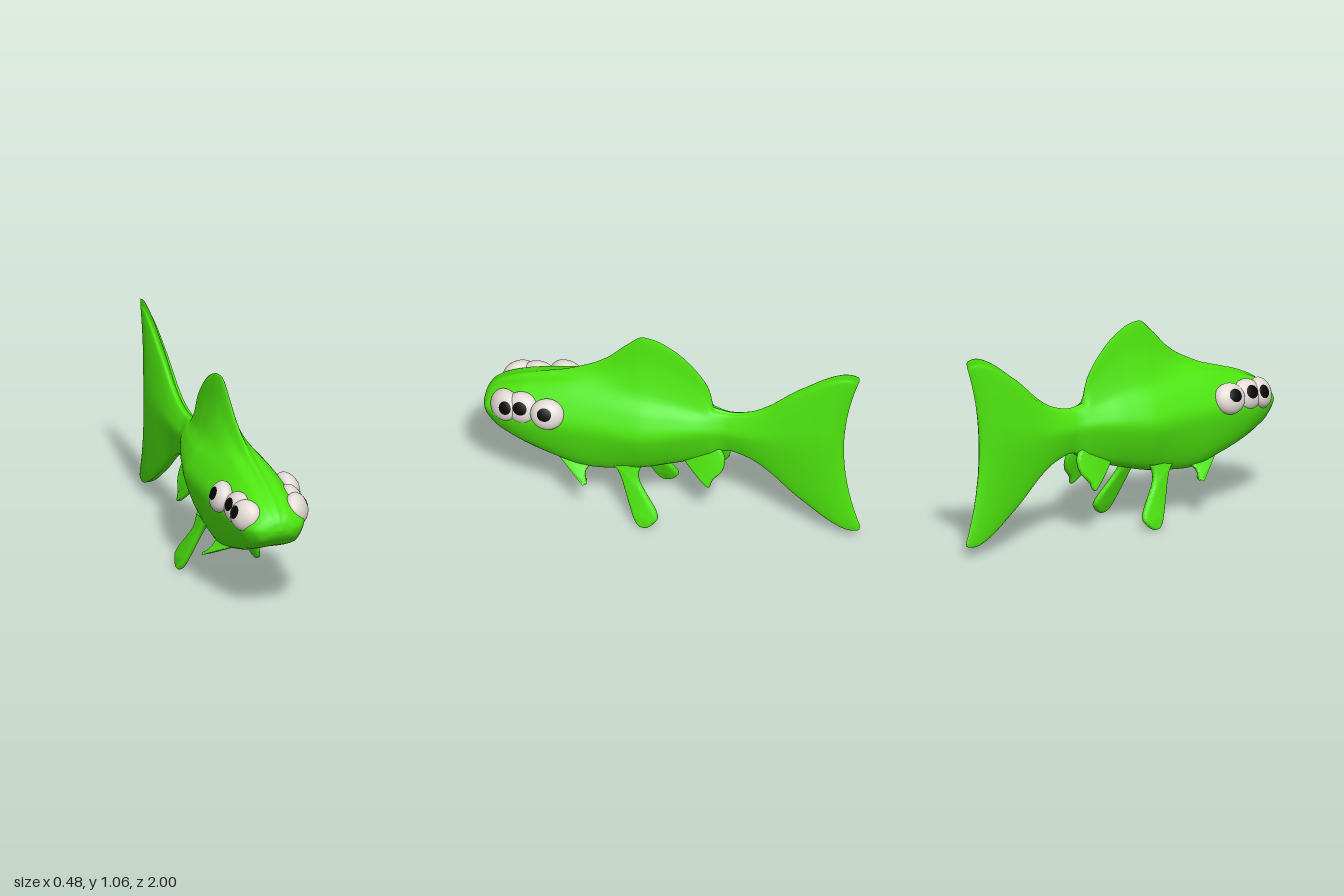
import * as THREE from 'three';
import { toCreasedNormals } from 'three/addons/utils/BufferGeometryUtils.js';

const green = new THREE.MeshStandardMaterial({ color: 0x4ee60f });
const white = new THREE.MeshStandardMaterial({ color: 0xe2dad4 });
const black = new THREE.MeshStandardMaterial({ color: 0x050505 });

// Smooth curve through [z, value] points (z falling) that never overshoots
function profile(points) {
  const last = points.length - 1;
  const slope = (i) => (points[i + 1][1] - points[i][1]) / (points[i + 1][0] - points[i][0]);
  const tangents = points.map((_, i) => {
    if (i === 0) return slope(0);
    if (i === last) return slope(last - 1);
    const a = slope(i - 1), b = slope(i);
    return a * b > 0 ? (2 * a * b) / (a + b) : 0;
  });
  return (z) => {
    if (z >= points[0][0]) return points[0][1];
    if (z <= points[last][0]) return points[last][1];
    const i = points.findIndex((p) => p[0] < z) - 1;
    const [z0, v0] = points[i], [z1, v1] = points[i + 1];
    const h = z1 - z0, t = (z - z0) / h, s = 1 - t;
    return v0 * s * s * (1 + 2 * t) + v1 * t * t * (3 - 2 * t)
      + h * t * s * (tangents[i] * s - tangents[i + 1] * t);
  };
}

const TAIL_Y = 0.56;
const back = profile([[1, 0.53], [0.99, 0.57], [0.96, 0.61], [0.88, 0.66], [0.75, 0.71],
  [0.5, 0.765], [0.2, 0.78], [0, 0.75], [-0.16, 0.7], [-0.3, 0.678], [-0.4, 0.7],
  [-0.7, 0.91], [-0.95, 1.057], [-0.99, 1.05], [-1, 1.02]]);
const backFin = profile([[0.75, 0], [0.6, 0.01], [0.45, 0.06], [0.35, 0.12], [0.25, 0.215],
  [0.16, 0.283], [0.1, 0.285], [0, 0.26], [-0.1, 0.21], [-0.16, 0.155], [-0.195, 0.095], [-0.21, 0]]);
const trunkBelly = profile([[1, 0.53], [0.99, 0.495], [0.96, 0.455], [0.88, 0.4], [0.6, 0.295],
  [0.4, 0.253], [0.2, 0.27], [0, 0.32], [-0.2, 0.39], [-0.3, 0.442], [-0.32, 0.442]]);
const halfWidth = profile([[1, 0], [0.99, 0.08], [0.96, 0.135], [0.88, 0.175], [0.75, 0.195],
  [0.4, 0.2], [0.16, 0.196], [0, 0.16], [-0.2, 0.088], [-0.3, 0.055], [-0.7, 0.058],
  [-0.85, 0.052], [-0.95, 0.034], [-0.99, 0.015], [-1, 0]]);

// Closed outline of the body at z, the tail being alike above and below
function section(z) {
  const w = halfWidth(z), ridge = back(z), top = ridge + backFin(z);
  const bottom = z > -0.3 ? trunkBelly(z) : 2 * TAIL_Y - ridge;
  const mid = THREE.MathUtils.lerp(TAIL_Y, 0.525, THREE.MathUtils.smoothstep(z, -0.2, 0.2));
  const belly = w * THREE.MathUtils.lerp(0.5, 0.7, THREE.MathUtils.smoothstep(z, -0.3, 0.6));
  const up = (f) => mid + f * (ridge - mid);
  const half = [
    [0, bottom],
    [belly, bottom + 0.04 * (top - bottom)],
    [w, mid],
    [w * 0.78, up(0.5)],
    [w * 0.42, up(0.87)],
    [w * 0.16, (up(0.87) + top) / 2],
    [0, top],
  ].map(([x, y]) => new THREE.Vector3(x, y, z));
  const other = half.slice(1, -1).reverse().map((p) => new THREE.Vector3(-p.x, p.y, z));
  return new THREE.CatmullRomCurve3([...half, ...other], true, 'catmullrom', 0.45);
}

// One smooth skin for the head, trunk, back fin and tail fin
function bodyGeometry() {
  const N = 220, M = 64;
  const pos = [], index = [];
  for (let i = 0; i <= N; i++) {
    const ring = section(Math.cos((Math.PI * i) / N));
    for (let j = 0; j < M; j++) {
      const p = ring.getPoint(j / M);
      // Concave trailing edge of the tail
      const t = (p.y - TAIL_Y) / 0.48;
      const k = THREE.MathUtils.smoothstep(-p.z, 0.5, 1);
      pos.push(p.x, p.y, p.z + 0.09 * k * Math.max(0, 1 - t * t));
    }
  }
  for (let i = 0; i < N; i++) {
    for (let j = 0; j < M; j++) {
      const a = i * M + j, c = i * M + (j + 1) % M;
      index.push(a, a + M, c, a + M, c + M, c);
    }
  }
  const g = new THREE.BufferGeometry();
  g.setAttribute('position', new THREE.Float32BufferAttribute(pos, 3));
  g.setIndex(index);
  g.computeVertexNormals();
  return g;
}

// Thin rounded fin: outline as [z, y], splayed from x0 at y0 to x1 at y1
function fin(name, outline, side, [x0, y0, x1, y1], thick) {
  const shape = new THREE.Shape();
  const pts = outline.map(([z, y]) => new THREE.Vector2(-z, y));
  shape.moveTo(pts[0].x, pts[0].y);
  shape.splineThru(pts.slice(1));
  const bevel = thick * 0.45, depth = thick - 2 * bevel;
  const g = new THREE.ExtrudeGeometry(shape, {
    depth, bevelThickness: bevel, bevelSize: bevel,
    bevelOffset: -bevel, bevelSegments: 4, curveSegments: 30,
  });
  g.translate(0, 0, -depth / 2);
  g.rotateY(Math.PI / 2);
  const p = g.attributes.position;
  for (let i = 0; i < p.count; i++) {
    const f = (p.getY(i) - y0) / (y1 - y0);
    p.setX(i, p.getX(i) + side * (x0 + f * (x1 - x0)));
  }
  const mesh = new THREE.Mesh(toCreasedNormals(g, 1.2), green);
  mesh.name = name;
  return mesh;
}

const PECTORAL = [[0.29, 0.31], [0.24, 0.25], [0.15, 0.04], [0.095, 0.004],
  [0.045, 0.035], [0.035, 0.09], [0.14, 0.24], [0.14, 0.32]];
const THROAT = [[0.62, 0.31], [0.54, 0.265], [0.415, 0.202], [0.425, 0.25], [0.38, 0.31]];
const REAR = [[-0.05, 0.4], [-0.1, 0.335], [-0.205, 0.242], [-0.235, 0.285],
  [-0.28, 0.34], [-0.285, 0.41], [-0.24, 0.48]];

// Eyes: centre, turn to the front, pupil direction within the eye
const EYES = [
  { at: [0.14, 0.58, 0.862], turn: 0.6, look: [0.72, 0.08, -0.5] },
  { at: [0.15, 0.59, 0.765], turn: 0.1, look: [0.96, 0.08, -0.05] },
  { at: [0.183, 0.6, 0.622], turn: -0.1, look: [0.96, 0.12, 0.1] },
];

function eye({ at, turn, look }, side) {
  const g = new THREE.Group();
  g.name = 'eye';
  const ball = new THREE.Mesh(new THREE.SphereGeometry(1, 36, 24), white);
  ball.name = 'eyeball';
  const pupil = new THREE.Mesh(new THREE.SphereGeometry(1.012, 28, 8, 0, Math.PI * 2, 0, 0.44), black);
  pupil.name = 'pupil';
  const dir = new THREE.Vector3(look[0] * side, look[1], look[2]).normalize();
  pupil.quaternion.setFromUnitVectors(new THREE.Vector3(0, 1, 0), dir);
  g.add(ball, pupil);
  g.scale.set(0.055, 0.082, 0.088);
  g.position.set(at[0] * side, at[1], at[2]);
  g.rotation.set(0, -turn * side, 0.35 * side, 'YZX');
  return g;
}

export function createModel() {
  const model = new THREE.Group();
  model.name = 'fish';
  const body = new THREE.Mesh(bodyGeometry(), green);
  body.name = 'body';
  model.add(body);
  for (const side of [1, -1]) {
    model.add(fin('pectoralFin', PECTORAL, side, [0.13, 0.28, 0.215, 0], 0.035));
    model.add(fin('throatFin', THROAT, side, [0.125, 0.27, 0.195, 0.205], 0.035));
    model.add(fin('rearFin', REAR, side, [0.045, 0.4, 0.09, 0.25], 0.03));
    for (const e of EYES) model.add(eye(e, side));
  }
  return model;
}
